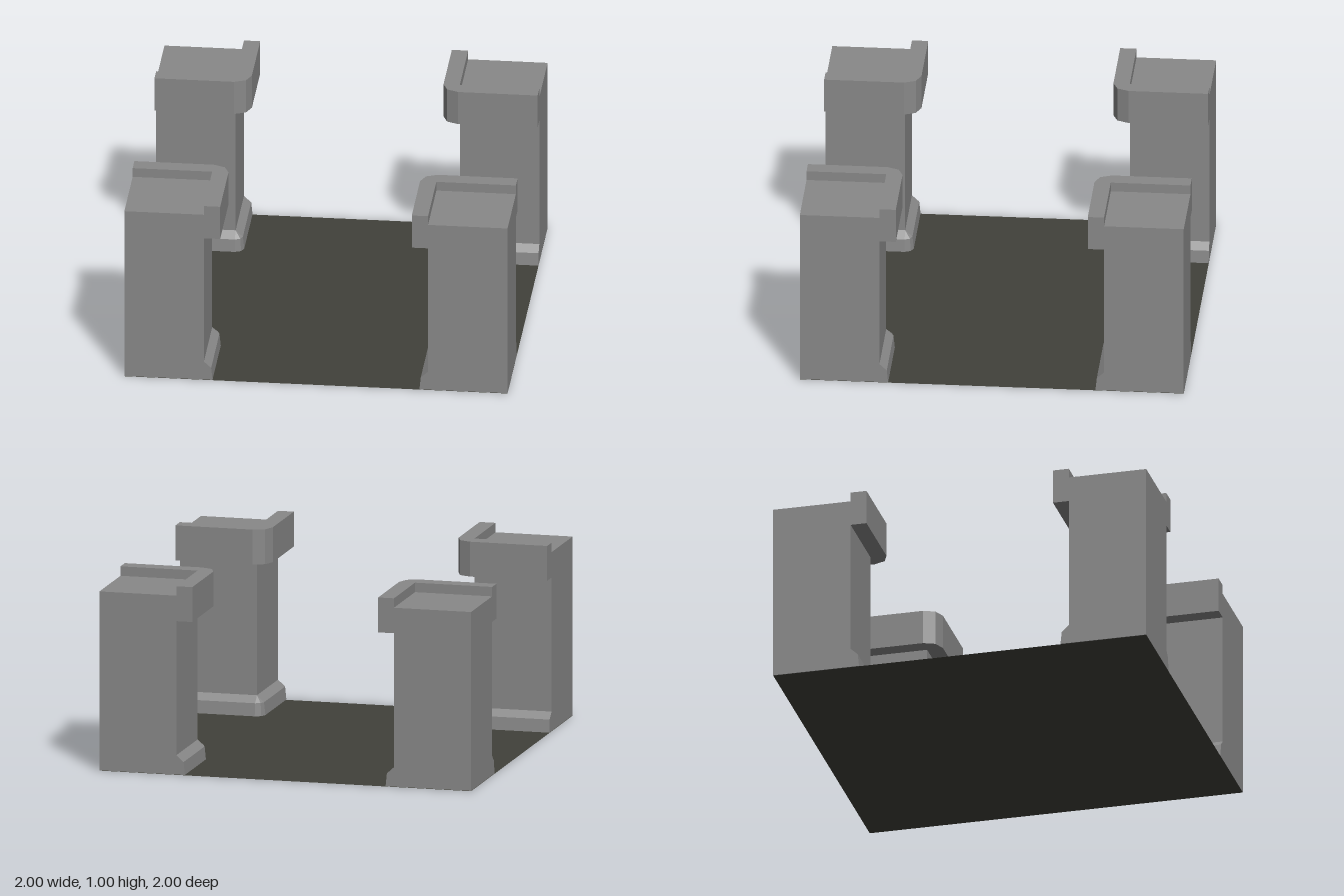
import * as THREE from 'three';

const INNER = 0.585; // inner faces of each corner pillar
const stone = new THREE.MeshStandardMaterial({ color: 0x888888 });
stone.name = 'stone grey';
const ground = new THREE.MeshStandardMaterial({ color: 0x41413a, side: THREE.DoubleSide });
ground.name = 'dark floor';

// Outline around the pillar's inner corner, offset outwards by d, with a two-step rounded corner
function outline(d) {
  const points = [[INNER - d, 1]];
  for (let i = 0; i <= 2; i++) {
    const a = (i * Math.PI) / 4;
    points.push([INNER - d * Math.cos(a), INNER - d * Math.sin(a)]);
  }
  points.push([1, INNER - d]);
  return points;
}

// Sweep a closed convex profile of [offset, height] around the inner corner
function moulding(profile) {
  const rings = profile.map(([d, y]) => outline(d).map(([x, z]) => new THREE.Vector3(x, y, z)));
  const n = profile.length;
  const pos = [];
  const tri = (a, b, c) => {
    if (a.equals(b) || b.equals(c) || c.equals(a)) return;
    for (const p of [a, b, c]) pos.push(p.x, p.y, p.z);
  };
  const last = rings[0].length - 1;
  for (let k = 0; k < n; k++) {
    const r = rings[k], s = rings[(k + 1) % n];
    for (let i = 0; i < last; i++) {
      tri(r[i], s[i], s[i + 1]);
      tri(r[i], s[i + 1], r[i + 1]);
    }
  }
  // Flat end caps
  for (let k = 1; k < n - 1; k++) {
    tri(rings[0][0], rings[k + 1][0], rings[k][0]);
    tri(rings[0][last], rings[k][last], rings[k + 1][last]);
  }
  const geometry = new THREE.BufferGeometry();
  geometry.setAttribute('position', new THREE.Float32BufferAttribute(pos, 3));
  geometry.computeVertexNormals();
  return geometry;
}

export function createModel() {
  const model = new THREE.Group();
  model.name = 'fourPillarPlatform';
  const add = (parent, name, geometry, material) => {
    const mesh = new THREE.Mesh(geometry, material);
    mesh.name = name;
    parent.add(mesh);
  };

  // Flat square floor
  add(model, 'floor', new THREE.PlaneGeometry(2, 2).rotateX(-Math.PI / 2), ground);

  // Pillar parts, lifted a hair so the floor covers their undersides
  const lift = 0.002, top = 0.95, width = 1 - INNER;
  const shaft = new THREE.BoxGeometry(width, top - lift, width);
  shaft.translate(1 - width / 2, (top + lift) / 2, 1 - width / 2);
  const skirting = moulding([[0, lift], [0.045, lift], [0.038, 0.07], [0, 0.105]]);
  const parapet = moulding([[0, 0.815], [0.085, 0.815], [0.085, 1], [0, 1]]);

  // One pillar in each corner
  for (let i = 0; i < 4; i++) {
    const pillar = new THREE.Group();
    pillar.name = 'pillar' + (i + 1);
    add(pillar, 'shaft', shaft, stone);
    add(pillar, 'skirting', skirting, stone);
    add(pillar, 'parapet', parapet, stone);
    pillar.rotation.y = (i * Math.PI) / 2;
    model.add(pillar);
  }
  return model;
}
